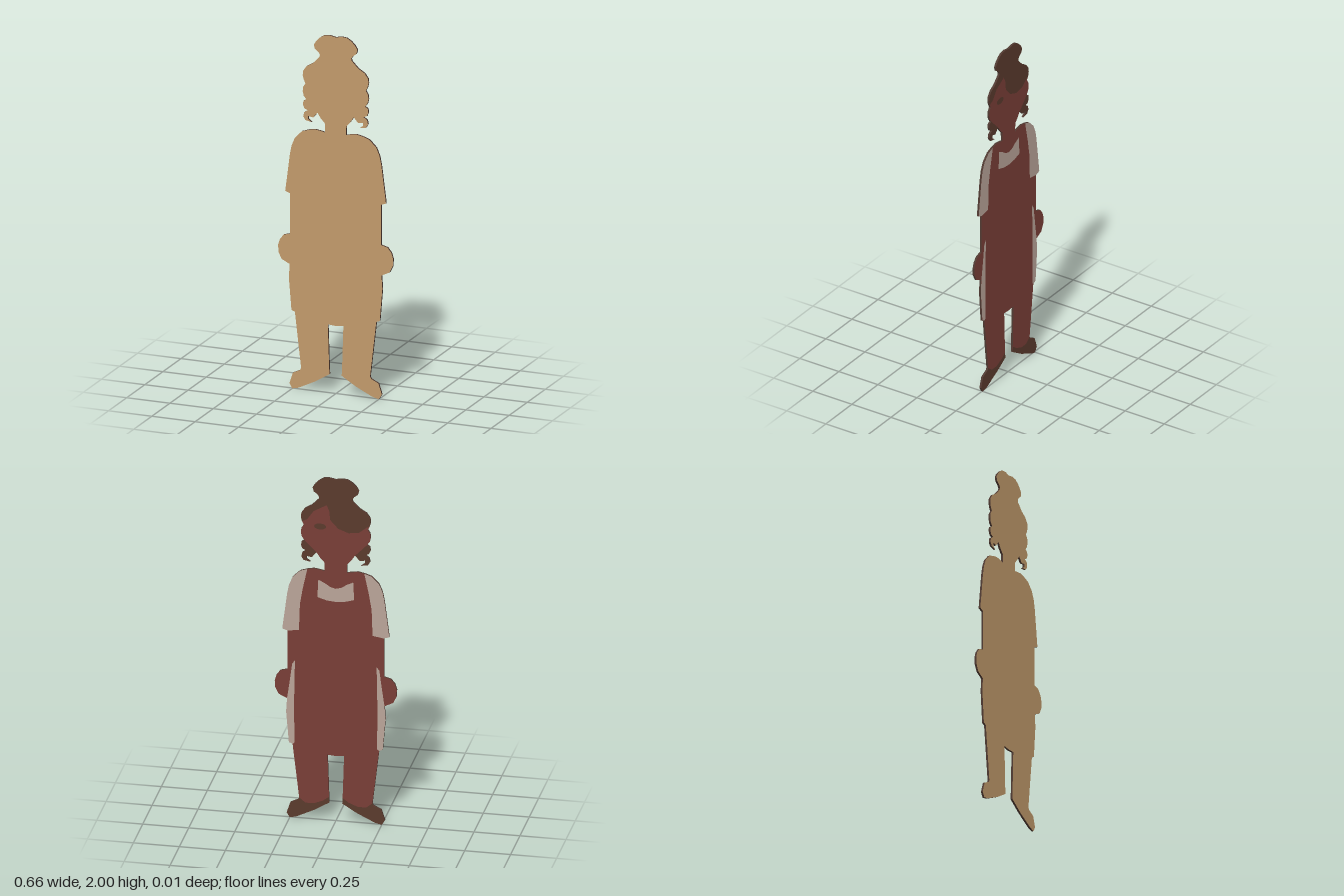
import * as THREE from 'three';

const HALF = 0.006; // half the board thickness
const LIFT = 0.0008; // how far paint stands off the back

const mat = (name, color) => {
  const m = new THREE.MeshStandardMaterial({ color });
  m.name = name;
  return m;
};

// Half outline (+x side) in runs, from the crown down to the crotch
const bun = [[0, 1.993], [0.035, 2], [0.065, 1.997], [0.09, 1.982], [0.112, 1.96], [0.126, 1.938],
  [0.12, 1.915], [0.1, 1.9], [0.09, 1.885], [0.094, 1.872]];
const crownSide = [[0.13, 1.835], [0.168, 1.812], [0.187, 1.785], [0.19, 1.76], [0.184, 1.735]];
const ear = [[0.174, 1.716], [0.187, 1.695], [0.19, 1.67], [0.184, 1.645], [0.17, 1.627]];
const curl = [[0.186, 1.617], [0.189, 1.595], [0.18, 1.575], [0.162, 1.567], [0.182, 1.553],
  [0.187, 1.53], [0.175, 1.51], [0.138, 1.503], [0.158, 1.518], [0.158, 1.535], [0.13, 1.53], [0.105, 1.56]];
const neck = [[0.085, 1.53], [0.062, 1.505], [0.06, 1.455], [0.085, 1.46]];
const sleeve = [[0.12, 1.465], [0.155, 1.458], [0.195, 1.445], [0.235, 1.405], [0.254, 1.36], [0.264, 1.31],
  [0.291, 1.1], [0.262, 1.09]];
const hand = [[0.262, 0.865], [0.3, 0.855], [0.322, 0.828], [0.332, 0.795], [0.33, 0.755], [0.312, 0.718], [0.265, 0.695]];
const skirtSide = [[0.27, 0.62], [0.255, 0.44], [0.235, 0.432]];
const shoe = [[0.199, 0.122], [0.205, 0.11], [0.247, 0.09], [0.267, 0.03], [0.25, 0.002], [0.215, 0.01],
  [0.115, 0.058], [0.035, 0.107], [0.037, 0.14]];
const crotch = [[0.045, 0.385], [0, 0.381]];

const flip = (pts) => pts.map(([x, y]) => [-x, y]);
const shapeOf = (pts) => new THREE.Shape(pts.map(([x, y]) => new THREE.Vector2(x, y)));

export function createModel() {
  const group = new THREE.Group();
  const wood = mat('bareWood', 0xc19a6b);
  const edge = mat('darkEdge', 0x4f3a32);
  const brown = mat('redBrown', 0x793e37);
  const hair = mat('darkHair', 0x5a3a2d);
  const cloth = mat('paleCloth', 0xb9a498);

  // Cutout board: wooden front, dark rim, painted back
  const half = [bun, crownSide, ear, curl, neck, sleeve, hand, skirtSide, shoe, crotch].flat();
  const outline = [...half, ...flip(half.slice(1, -1)).reverse()];
  const geo = new THREE.ExtrudeGeometry(shapeOf(outline), { depth: 2 * HALF - LIFT, bevelEnabled: false });
  geo.translate(0, 0, -HALF + LIFT);
  const [caps, rim] = geo.groups;
  geo.clearGroups();
  geo.addGroup(0, caps.count / 2, 0);
  geo.addGroup(caps.count / 2, caps.count / 2, 1);
  geo.addGroup(rim.start, rim.count, 2);
  const board = new THREE.Mesh(geo, [brown, wood, edge]);
  board.name = 'cutoutBoard';
  group.add(board);

  // Painted sheet on the back, facing -z
  const paint = (name, pts, material) => {
    const g = new THREE.ShapeGeometry(shapeOf(flip(pts)));
    g.rotateY(Math.PI);
    g.translate(0, 0, -HALF);
    const mesh = new THREE.Mesh(g, material);
    mesh.name = name;
    group.add(mesh);
  };
  const paintPair = (name, pts, material) => {
    paint(name + 'Left', pts, material);
    paint(name + 'Right', flip(pts), material);
  };

  // Hair with a fringe swept to one side
  const fringe = [[0.155, 1.75], [0.12, 1.8], [0.05, 1.84], [0.036, 1.81], [0.03, 1.755], [-0.013, 1.708],
    [-0.07, 1.687], [-0.127, 1.695], [-0.17, 1.73]];
  const top = [...bun, ...crownSide];
  paint('hair', [...top, ...fringe, ...flip(top.slice(1)).reverse()], hair);
  paintPair('curl', [ear[4], ...curl, [0.135, 1.59]], hair);

  // Eye
  const eye = [];
  for (let i = 0; i < 12; i++) {
    const a = (i / 12) * Math.PI * 2;
    eye.push([0.085 + 0.033 * Math.cos(a), 1.713 + 0.018 * Math.sin(a)]);
  }
  paint('eye', eye, hair);

  // Clothes
  const collar = [[0.095, 1.402], [0.1, 1.3], [0.05, 1.285], [0, 1.28]];
  const scoop = [[0, 1.357], [0.03, 1.365], [0.06, 1.385]];
  paint('collar', [...collar, ...flip(collar.slice(0, 3)).reverse(), ...flip(scoop.slice(1)).reverse(), ...scoop], cloth);
  paintPair('sleeve', [...sleeve.slice(1), [0.2, 1.1], [0.195, 1.25], [0.18, 1.34]], cloth);
  paintPair('sidePanel', [[0.222, 0.92], [0.237, 0.9], [0.25, 0.8], hand[6], ...skirtSide, [0.224, 0.44], [0.227, 0.65]], cloth);
  paintPair('shoe', [...shoe, [0.07, 0.115], [0.12, 0.095], [0.165, 0.095]], hair);

  return group;
}
